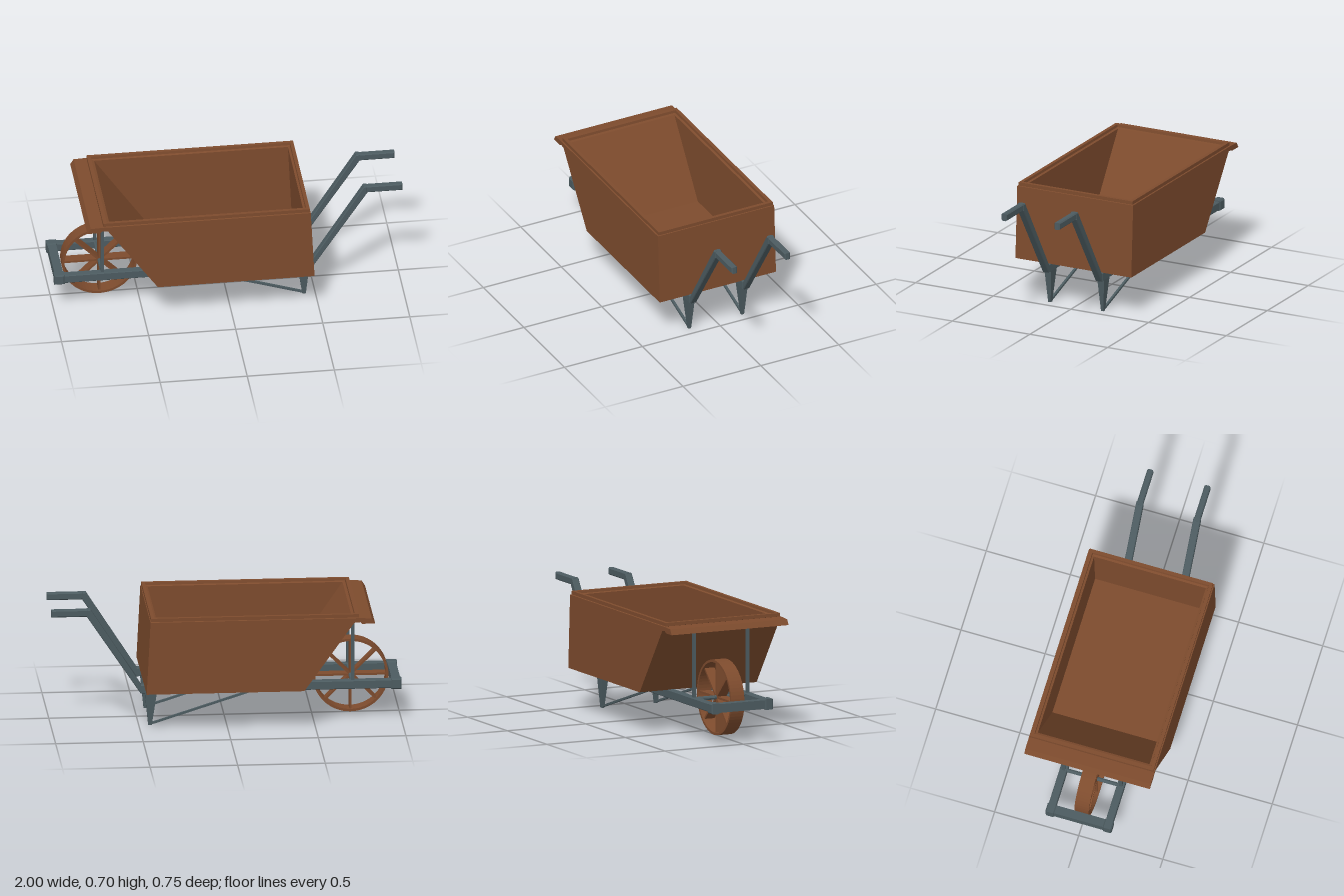
import * as THREE from 'three';

export function createModel() {
  const rust = new THREE.MeshStandardMaterial({ color: 0x7d4b2d });
  rust.name = 'rustBrown';
  const steel = new THREE.MeshStandardMaterial({ color: 0x4c5b60 });
  steel.name = 'slateSteel';
  rust.flatShading = steel.flatShading = true;

  const model = new THREE.Group();
  model.name = 'wheelbarrow';

  const add = (name, geometry, material, parent = model) => {
    const mesh = new THREE.Mesh(geometry, material);
    mesh.name = name;
    parent.add(mesh);
    return mesh;
  };

  // Side profile (x, y) extruded across z, centred on z = 0
  const slab = (points, width, bevel = 0) => {
    const shape = new THREE.Shape(points.map(([x, y]) => new THREE.Vector2(x, y)));
    const g = new THREE.ExtrudeGeometry(shape, {
      depth: width - 2 * bevel, bevelEnabled: bevel > 0, bevelSegments: 1,
      bevelSize: bevel, bevelThickness: bevel, bevelOffset: -bevel,
    });
    return g.translate(0, 0, -width / 2 + bevel);
  };
  const rect = (x0, x1, y0, y1) => [[x0, y0], [x1, y0], [x1, y1], [x0, y1]];

  // Closed skin through rectangular sections [xMin, xMax, halfZ, y, (xMin, xMax of differing depth)]
  const loft = (sections) => {
    const pos = [], idx = [];
    for (const [x0, x1, z, y] of sections) {
      pos.push(x0, y, z, x1, y, z, x1, y, -z, x0, y, -z);
    }
    for (let s = 0; s < sections.length - 1; s++) {
      for (let i = 0; i < 4; i++) {
        const a = s * 4 + i, b = s * 4 + (i + 1) % 4;
        idx.push(a, b, b + 4, a, b + 4, a + 4);
      }
    }
    const e = (sections.length - 1) * 4;
    idx.push(0, 2, 1, 0, 3, 2, e, e + 1, e + 2, e, e + 2, e + 3);
    const g = new THREE.BufferGeometry();
    g.setAttribute('position', new THREE.Float32BufferAttribute(pos, 3));
    g.setIndex(idx);
    const flat = g.toNonIndexed();
    flat.computeVertexNormals();
    return flat;
  };

  // Tray: outer walls, stepped rim, inner walls and floor
  add('tray', loft([
    [-0.43, 0.47, 0.373, 0.24],
    [-0.735, 0.448, 0.373, 0.667],
    [-0.742, 0.444, 0.366, 0.669],
    [-0.742, 0.444, 0.366, 0.689],
    [-0.72, 0.424, 0.346, 0.689],
    [-0.718, 0.422, 0.344, 0.674],
    [-0.703, 0.41, 0.332, 0.67],
    [-0.415, 0.43, 0.332, 0.25],
  ]), rust);

  // Pouring lip at the wheel end
  add('pouringLip', slab([
    [-0.835, 0.633], [-0.76, 0.633], [-0.75, 0.643], [-0.715, 0.64],
    [-0.73, 0.668], [-0.815, 0.664],
  ], 0.746), rust);

  // Undercarriage
  const frame = new THREE.Group();
  frame.name = 'frame';
  frame.position.z = -0.003;
  model.add(frame);

  for (const s of [1, -1]) {
    const half = new THREE.Group();
    half.name = s > 0 ? 'leftFrameSide' : 'rightFrameSide';
    half.position.z = s * 0.17;
    frame.add(half);

    add('rail', slab(rect(-0.98, 0.49, 0.192, 0.242), 0.044, 0.004), steel, half);
    add('railCap', slab(rect(-1, -0.94, 0.186, 0.248), 0.054, 0.007), steel, half);
    add('handleArm', slab([
      [0.46, 0.192], [0.49, 0.192], [0.797, 0.655], [0.797, 0.697], [0.777, 0.697], [0.485, 0.24],
    ], 0.042, 0.004), steel, half);
    add('grip', slab(rect(0.775, 1, 0.655, 0.697), 0.036, 0.006), steel, half);

    // Tapered leg
    add('leg', loft([
      [0.426, 0.446, 0.008, 0],
      [0.397, 0.466, 0.022, 0.2],
    ]), steel, half);

    // Slanted brace from rail to foot
    add('brace', slab([[-0.18, 0.196], [0.43, 0.003], [0.434, 0.014], [-0.14, 0.196]], 0.014), steel, half);
    add('trayPost', slab(rect(-0.73, -0.712, 0.23, 0.645), 0.018), steel, half);
  }
  add('frontCrossbar', slab(rect(-0.995, -0.945, 0.192, 0.242), 0.33), steel, frame);

  // Wheel: hollow rim, broad flat spokes and axle
  const wheel = new THREE.Group();
  wheel.name = 'wheel';
  wheel.position.set(-0.72, 0.23, 0);
  frame.add(wheel);

  const ring = new THREE.Shape().absarc(0, 0, 0.216, 0, Math.PI * 2);
  ring.holes.push(new THREE.Path().absarc(0, 0, 0.202, 0, Math.PI * 2, true));
  const rim = new THREE.ExtrudeGeometry(ring, { depth: 0.085, bevelEnabled: false, curveSegments: 32 });
  add('wheelRim', rim.translate(0, 0, -0.0425), rust, wheel);

  for (let i = 0; i < 4; i++) {
    const spoke = add('spoke', new THREE.BoxGeometry(0.41, 0.012, 0.06), rust, wheel);
    spoke.rotation.z = i * Math.PI / 4;
  }
  const axle = add('axle', new THREE.CylinderGeometry(0.012, 0.012, 0.33, 8), steel, wheel);
  axle.rotation.x = Math.PI / 2;

  return model;
}
